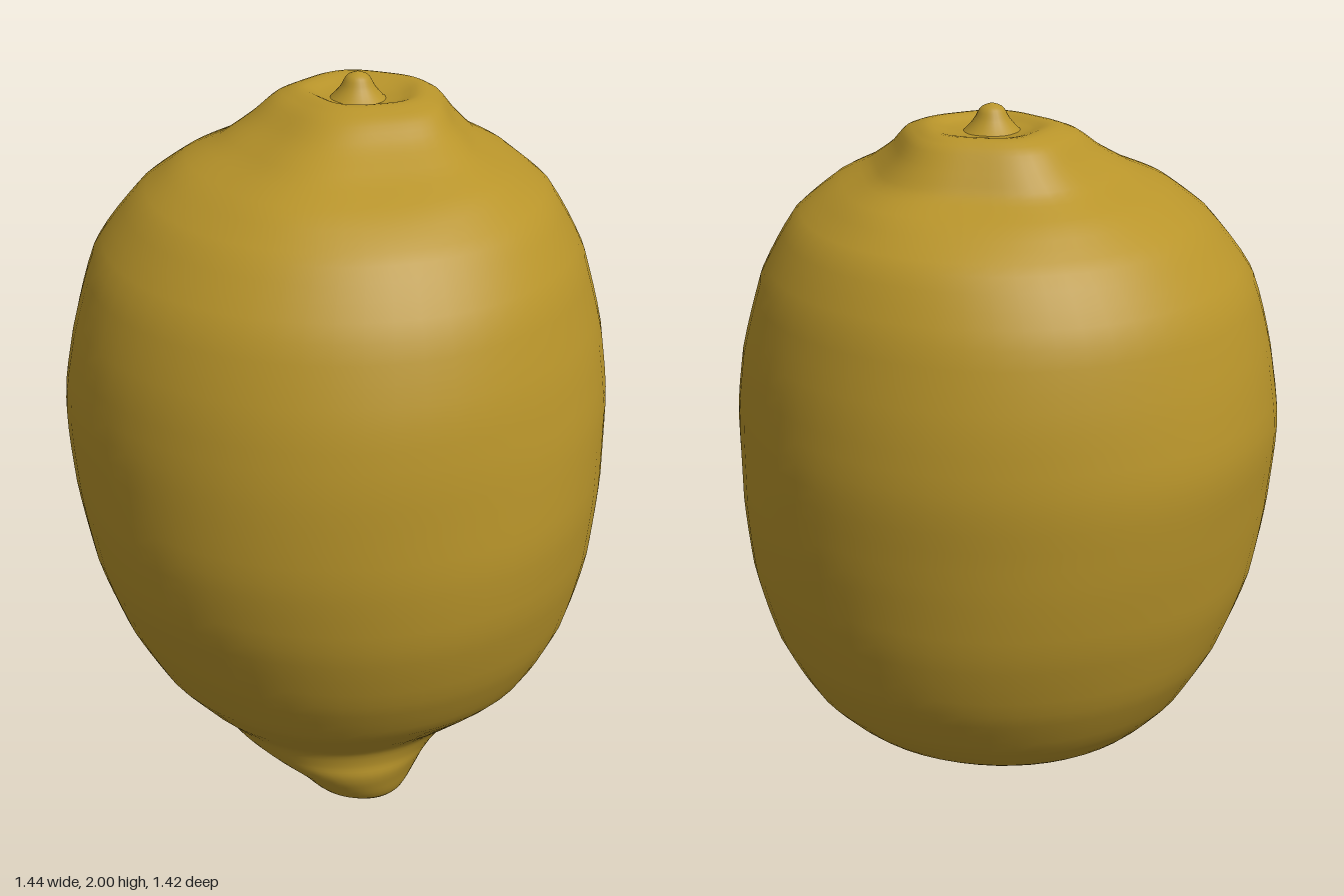
import * as THREE from 'three';

// Cross-sections of the fruit: [y, xMin, xMax, zMin, zMax]
const SECTIONS = [
  [0.0, 0.16, 0.18, 0.12, 0.14],
  [0.02, 0.08, 0.25, 0.06, 0.2],
  [0.06, 0.03, 0.295, 0.02, 0.265],
  [0.12, -0.03, 0.32, -0.05, 0.315],
  [0.16, -0.13, 0.335, -0.1, 0.345],
  [0.2, -0.25, 0.35, -0.2, 0.365],
  [0.25, -0.34, 0.385, -0.32, 0.39],
  [0.31, -0.425, 0.46, -0.43, 0.45],
  [0.4, -0.51, 0.56, -0.52, 0.53],
  [0.55, -0.595, 0.64, -0.605, 0.61],
  [0.75, -0.665, 0.695, -0.665, 0.68],
  [0.95, -0.7, 0.715, -0.695, 0.71],
  [1.15, -0.72, 0.71, -0.71, 0.71],
  [1.35, -0.695, 0.685, -0.695, 0.685],
  [1.55, -0.64, 0.63, -0.65, 0.62],
  [1.7, -0.53, 0.54, -0.57, 0.51],
  [1.78, -0.42, 0.44, -0.47, 0.4],
  [1.83, -0.32, 0.34, -0.38, 0.28],
  [1.88, -0.26, 0.27, -0.34, 0.18],
  [1.93, -0.21, 0.22, -0.3, 0.1],
  [1.95, -0.15, 0.16, -0.26, 0.04],
  [1.935, -0.09, 0.11, -0.19, 0.0],
  [1.925, -0.01, 0.03, -0.1, -0.06],
];

// Smooth loft through the sections, with gentle dents in the peel
function fruitGeometry(rows = 88, sides = 56) {
  const centres = new THREE.CatmullRomCurve3(SECTIONS.map(([y, x0, x1, z0, z1]) =>
    new THREE.Vector3((x0 + x1) / 2, y, (z0 + z1) / 2)));
  const radii = new THREE.CatmullRomCurve3(SECTIONS.map(([, x0, x1, z0, z1]) =>
    new THREE.Vector3((x1 - x0) / 2, 0, (z1 - z0) / 2)));
  const positions = [], index = [];
  for (let i = 0; i <= rows; i++) {
    const c = centres.getPoint(i / rows), r = radii.getPoint(i / rows);
    const collar = THREE.MathUtils.smoothstep(c.y, 1.72, 1.85);
    for (let j = 0; j < sides; j++) {
      const a = (j / sides) * Math.PI * 2;
      const dent = 1 + 0.006 * Math.sin(3 * a + 4 * c.y) * Math.sin(5 * c.y + 2 * a)
        + collar * 0.04 * Math.sin(5 * a + 1);
      positions.push(c.x + r.x * dent * Math.cos(a), Math.max(0, c.y), c.z + r.z * dent * Math.sin(a));
      if (i < rows) {
        const p = i * sides + j, q = i * sides + (j + 1) % sides;
        index.push(p, p + sides, q, q, p + sides, q + sides);
      }
    }
  }
  // Close both ends
  for (const [row, flip] of [[0, false], [rows, true]]) {
    const c = centres.getPoint(row / rows), hub = positions.length / 3;
    positions.push(c.x, c.y, c.z);
    for (let j = 0; j < sides; j++) {
      const p = row * sides + j, q = row * sides + (j + 1) % sides;
      index.push(hub, ...(flip ? [q, p] : [p, q]));
    }
  }
  const g = new THREE.BufferGeometry();
  g.setAttribute('position', new THREE.Float32BufferAttribute(positions, 3));
  g.setIndex(index);
  g.computeVertexNormals();
  return g;
}

export function createModel() {
  const group = new THREE.Group();
  group.name = 'lemon';
  const peel = new THREE.MeshStandardMaterial({ color: 0xb8942a });
  peel.name = 'lemon peel';

  // Body with its off-centre tip below and raised collar above
  const fruit = new THREE.Mesh(fruitGeometry(), peel);
  fruit.name = 'fruit';
  group.add(fruit);

  // Small stem nub in the hollow of the collar
  const profile = new THREE.SplineCurve([[0.11, -0.02], [0.07, 0.012], [0.045, 0.04], [0.028, 0.068], [0, 0.08]]
    .map(([x, y]) => new THREE.Vector2(x, y))).getPoints(14);
  profile[profile.length - 1].x = 0;
  const nub = new THREE.Mesh(new THREE.LatheGeometry(profile, 24), peel);
  nub.name = 'stemNub';
  nub.position.set(0.005, 1.92, -0.085);
  group.add(nub);

  return group;
}
